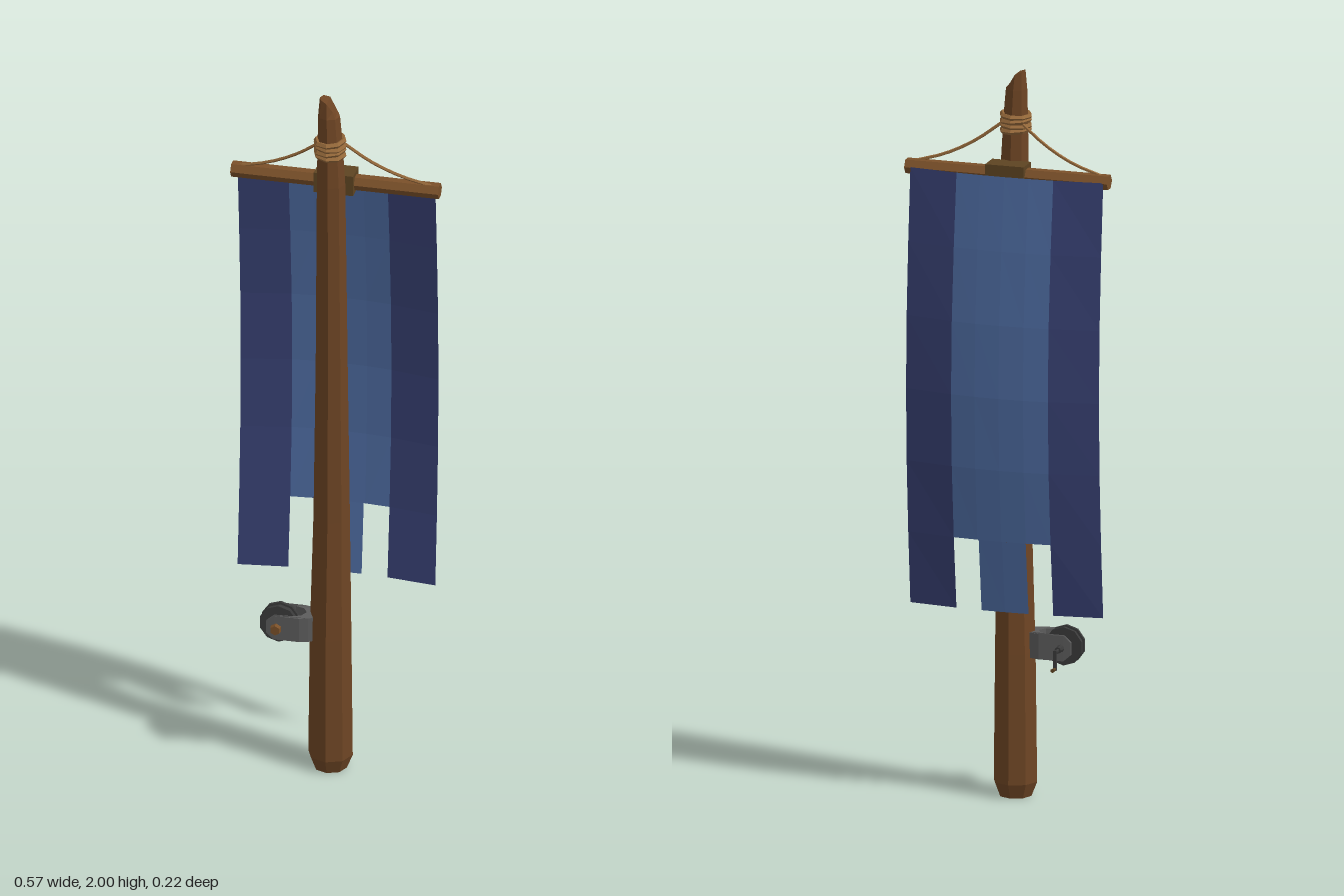
import * as THREE from 'three';

const mat = (color, double = false) => new THREE.MeshStandardMaterial({
  color, flatShading: true, side: double ? THREE.DoubleSide : THREE.FrontSide,
});
const wood = mat(0x6e4524), paleWood = mat(0x7a5029), darkWood = mat(0x5e4422);
const rope = mat(0x94683a), iron = mat(0x3a3a3a), steel = mat(0x5c5c5c);
const darkCloth = mat(0x363f70, true), lightCloth = mat(0x4b689c, true);

function add(parent, name, geometry, material, x = 0, y = 0, z = 0) {
  const mesh = new THREE.Mesh(geometry, material);
  mesh.name = name;
  mesh.position.set(x, y, z);
  parent.add(mesh);
  return mesh;
}

// Cylinder along z between two depths
function rod(z0, z1, r0, r1, sides = 8) {
  return new THREE.CylinderGeometry(r1, r0, z1 - z0, sides)
    .rotateX(Math.PI / 2).translate(0, 0, (z0 + z1) / 2);
}

// Octagonal pole: each ring is [y, centre x, centre z, radius]
function poleGeometry() {
  const rings = [
    [0, 0, 0.043, 0.045], [0.04, 0, 0.043, 0.061], [0.4, 0, 0.042, 0.057],
    [0.75, 0.003, 0.042, 0.05], [1.2, 0.003, 0.042, 0.044], [1.75, 0.001, 0.041, 0.039],
    [1.88, -0.002, 0.04, 0.034], [1.95, -0.005, 0.038, 0.03], [2, -0.008, 0.036, 0.023],
  ];
  const last = rings.length - 1;
  const g = new THREE.CylinderGeometry(1, 1, last, 8, last);
  const p = g.attributes.position;
  for (let i = 0; i < p.count; i++) {
    const k = Math.round(p.getY(i) + last / 2);
    const [y, cx, cz, r] = rings[k];
    const x = cx + p.getX(i) * r;
    // The tip is cut on a slant towards +x
    const cut = k === last ? Math.max(0, x + 0.012) * 1.6 : 0;
    p.setXYZ(i, x, y - cut, cz + p.getZ(i) * r);
  }
  return g;
}

// A panel of cloth, bowed backwards across its width and its height
function clothPanel(x0, x1, yTop, yBottom, cols, rows) {
  const g = new THREE.PlaneGeometry(x1 - x0, yTop - yBottom, cols, rows);
  g.translate((x0 + x1) / 2, (yTop + yBottom) / 2, 0);
  const p = g.attributes.position;
  for (let i = 0; i < p.count; i++) {
    const u = 1 - (p.getX(i) / 0.272) ** 2;
    const t = (1.73 - p.getY(i)) / 1.2;
    p.setZ(i, -0.042 - 0.022 * u - (0.036 + 0.013 * u) * Math.sin(Math.PI * t));
  }
  return g;
}

function makeBanner() {
  const banner = new THREE.Group();
  banner.name = 'banner';
  add(banner, 'rightBorder', clothPanel(-0.275, -0.14, 1.73, 0.53, 1, 6), darkCloth);
  add(banner, 'leftBorder', clothPanel(0.132, 0.267, 1.73, 0.53, 1, 6), darkCloth);
  add(banner, 'centrePanel', clothPanel(-0.14, 0.132, 1.73, 0.73, 4, 5), lightCloth);
  add(banner, 'centreTail', clothPanel(-0.072, 0.06, 0.73, 0.53, 2, 1), lightCloth);
  return banner;
}

function makeRigging() {
  const rigging = new THREE.Group();
  rigging.name = 'rigging';
  // Rope wound round the pole
  for (let i = 0; i < 4; i++) {
    const ring = add(rigging, 'ropeWrap', new THREE.TorusGeometry(0.037, 0.008, 5, 8),
      rope, -0.002, 1.838 + i * 0.013, 0.04);
    ring.rotation.set(Math.PI / 2, (i % 2 ? 1 : -1) * 0.06, 0);
    ring.scale.y = 1.1;
  }
  // Sagging ropes to the ends of the crossbar
  for (const s of [-1, 1]) {
    const path = new THREE.CatmullRomCurve3([
      new THREE.Vector3(s * 0.025, 1.862, 0.014), new THREE.Vector3(s * 0.1, 1.807, 0.003),
      new THREE.Vector3(s * 0.18, 1.767, -0.008), new THREE.Vector3(s * 0.265, 1.742, -0.017),
    ]);
    add(rigging, 'stayRope', new THREE.TubeGeometry(path, 8, 0.0045, 5), rope);
  }
  return rigging;
}

// U-shaped bracket in plan, with tapered arm ends
function bracketGeometry() {
  const outline = [
    [-0.165, 0.012], [-0.145, 0.011], [-0.075, 0.011], [-0.052, 0.018], [-0.03, 0.03],
    [-0.03, 0.074], [-0.052, 0.086], [-0.075, 0.093], [-0.145, 0.093], [-0.165, 0.092],
    [-0.165, 0.084], [-0.145, 0.084], [-0.1, 0.082], [-0.075, 0.074], [-0.063, 0.052],
    [-0.075, 0.03], [-0.1, 0.022], [-0.145, 0.02], [-0.165, 0.02],
  ].map(([x, z]) => new THREE.Vector2(x, z));
  const g = new THREE.ExtrudeGeometry(new THREE.Shape(outline), { depth: 0.07, bevelEnabled: false });
  g.translate(0, 0, -0.035).rotateX(Math.PI / 2);
  const p = g.attributes.position;
  for (let i = 0; i < p.count; i++) if (p.getX(i) < -0.16) p.setY(i, p.getY(i) * 0.5);
  return g;
}

function makeWinch() {
  const winch = new THREE.Group();
  winch.name = 'winch';
  winch.position.y = 0.422;
  add(winch, 'bracket', bracketGeometry(), steel);

  const x = -0.137;
  // Grooved reel
  for (const z of [0.036, 0.06]) add(winch, 'reelFlange', rod(z, z + 0.009, 0.053, 0.053, 10), iron, x);
  add(winch, 'reelCore', rod(0.044, 0.061, 0.047, 0.047, 10), iron, x);
  // Axle with tapered hubs and end nut
  add(winch, 'axle', rod(-0.012, 0.1, 0.009, 0.009), iron, x);
  add(winch, 'backHub', rod(0.002, 0.036, 0.009, 0.016), iron, x);
  add(winch, 'frontHub', rod(0.069, 0.099, 0.016, 0.009), iron, x);
  add(winch, 'endNut', rod(0.097, 0.11, 0.016, 0.014, 6), paleWood, x);
  // Crank and its handle
  add(winch, 'crankShaft', rod(-0.036, 0, 0.005, 0.005, 6), iron, x);
  add(winch, 'crankArm', new THREE.BoxGeometry(0.008, 0.055, 0.007), iron, x, -0.022, -0.035);
  add(winch, 'crankHandle', rod(-0.056, -0.033, 0.006, 0.004, 6), darkWood, x, -0.045);
  return winch;
}

export function createModel() {
  const model = new THREE.Group();
  model.name = 'bannerPole';
  add(model, 'pole', poleGeometry(), wood);

  // Crossbar and the block that holds it to the pole
  const bar = new THREE.CylinderGeometry(0.024, 0.024, 0.57, 6)
    .rotateZ(Math.PI / 2).rotateX(Math.PI / 2).scale(1, 0.95, 0.9);
  bar.rotateX(Math.PI / 2);
  add(model, 'crossbar', bar, paleWood, 0, 1.728, -0.02);
  add(model, 'crossbarBlock', new THREE.BoxGeometry(0.108, 0.058, 0.062), darkWood, 0, 1.729, -0.021);

  model.add(makeBanner(), makeRigging(), makeWinch());
  return model;
}
